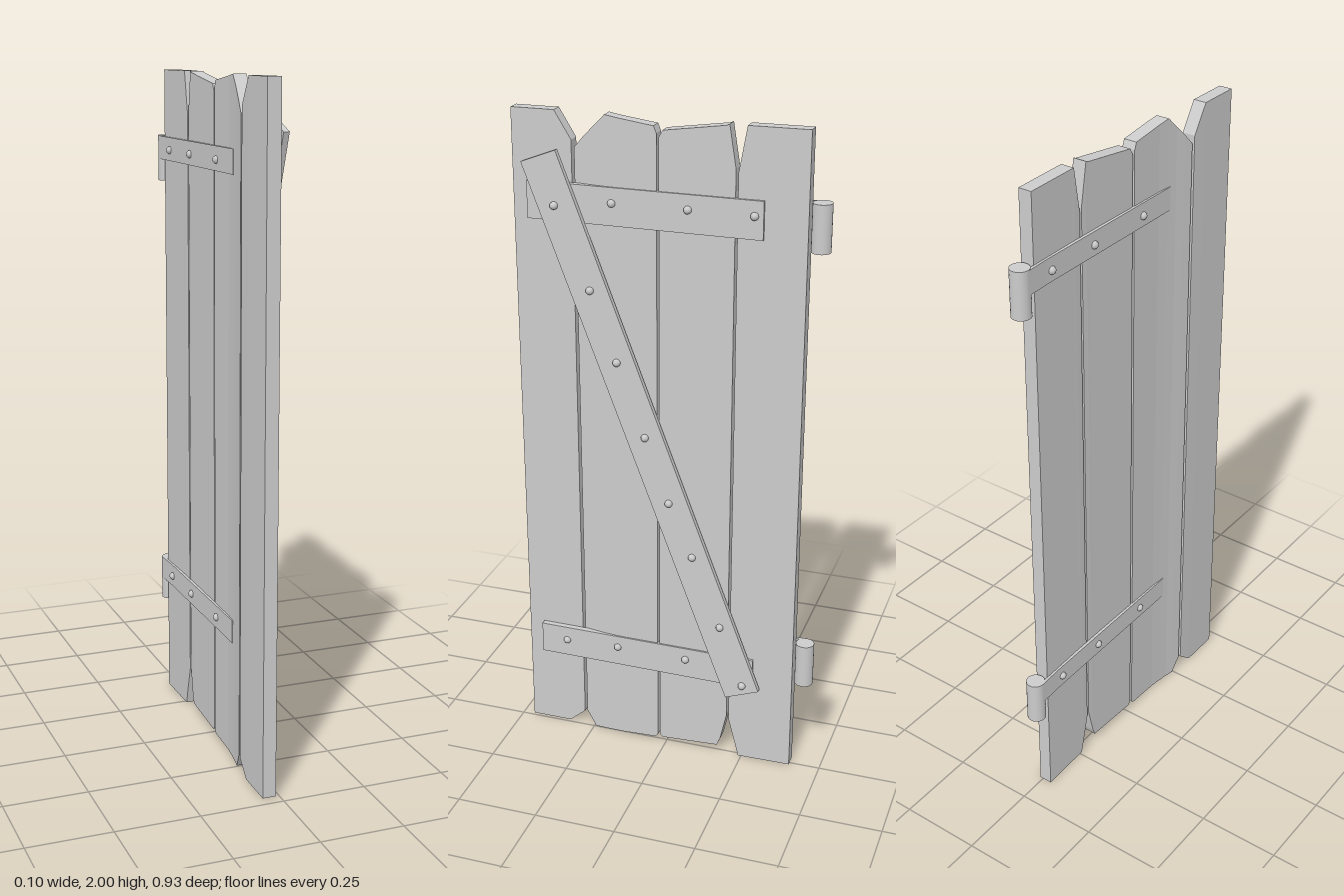
import * as THREE from 'three';

const grey = new THREE.MeshStandardMaterial({ color: 0xcccccc });
grey.name = 'plain grey';

// Board built from upright cross-sections along z: [z, bottom y, top y, back x]
function board(name, sections, thickness) {
  const pos = [], index = [];
  sections.forEach(([z, y0, y1, x]) => {
    const x1 = x + thickness;
    pos.push(x, y0, z, x1, y0, z, x1, y1, z, x, y1, z);
  });
  const last = (sections.length - 1) * 4;
  for (let i = 0; i < last; i += 4) {
    for (let j = 0; j < 4; j++) {
      const a = i + j, b = i + (j + 1) % 4;
      index.push(a, b, b + 4, a, b + 4, a + 4);
    }
  }
  index.push(0, 2, 1, 0, 3, 2, last, last + 1, last + 2, last, last + 2, last + 3);
  const indexed = new THREE.BufferGeometry();
  indexed.setAttribute('position', new THREE.Float32BufferAttribute(pos, 3));
  indexed.setIndex(index);
  const geometry = indexed.toNonIndexed();
  geometry.computeVertexNormals();
  const mesh = new THREE.Mesh(geometry, grey);
  mesh.name = name;
  return mesh;
}

export function createModel() {
  const door = new THREE.Group();
  door.name = 'plankDoor';

  // Four uneven planks with chipped ends; the third one bends backwards
  door.add(
    board('hingePlank', [
      [-0.405, 0, 2, -0.03], [-0.24, 0, 2, -0.027],
      [-0.23, 0.04, 2, -0.027], [-0.207, 0.13, 1.87, -0.026],
    ], 0.04),
    board('innerPlank', [
      [-0.2, 0.14, 1.88, -0.026], [-0.18, 0.05, 2, -0.027], [-0.17, 0.025, 1.996, -0.027],
      [0.01, 0.015, 1.97, -0.029], [0.021, 0.025, 1.95, -0.029],
    ], 0.04),
    board('bentPlank', [
      [0.028, 0.02, 1.96, -0.03], [0.036, 0.011, 1.98, -0.03], [0.14, 0.006, 1.994, -0.031],
      [0.18, 0.004, 2, -0.034], [0.215, 0.002, 1.965, -0.038],
      [0.245, 0, 1.935, -0.043], [0.276, 0.05, 1.9, -0.048],
    ], 0.04),
    board('latchPlank', [
      [0.285, 0.045, 1.92, -0.049], [0.335, 0.002, 2, -0.05],
      [0.345, 0, 2, -0.05], [0.465, 0, 2, -0.05],
    ], 0.04),
  );

  // Cross battens
  for (const [name, y0, y1] of [['upperBatten', 1.69, 1.8], ['lowerBatten', 0.26, 0.36]]) {
    door.add(board(name, [[-0.282, y0, y1, 0.003], [0.417, y0, y1, -0.009]], 0.018));
  }

  // Diagonal brace
  const brace = new THREE.Mesh(new THREE.BoxGeometry(0.017, 1.75, 0.112), grey);
  brace.name = 'diagonalBrace';
  brace.position.set(0.025, 1.06, 0.0585);
  brace.rotation.set(Math.atan2(0.625, 1.635), 0, 0.0035);
  door.add(brace);

  // Hinge barrels with straps on the back
  const barrelGeometry = new THREE.CylinderGeometry(0.028, 0.028, 0.138, 24);
  for (const [name, barrelY, strapY] of [['upperHinge', 1.733, 1.765], ['lowerHinge', 0.366, 0.4]]) {
    const hinge = new THREE.Group();
    hinge.name = name;
    const barrel = new THREE.Mesh(barrelGeometry, grey);
    barrel.name = 'hingeBarrel';
    barrel.position.set(-0.011, barrelY, -0.437);
    const y0 = strapY - 0.035, y1 = strapY + 0.035;
    hinge.add(barrel, board('hingeStrap', [
      [-0.437, y0, y1, -0.039], [-0.36, y0, y1, -0.036], [0.19, y0, y1, -0.037],
    ], 0.009));
    door.add(hinge);
  }

  // Nail heads: [x, y, z]
  const nailGeometry = new THREE.IcosahedronGeometry(0.012, 1);
  const nails = new THREE.Group();
  nails.name = 'nails';
  const nailSpots = [
    // brace
    [0.034, 1.74, 0.325], [0.034, 1.5, 0.222], [0.035, 1.29, 0.143], [0.036, 1.065, 0.058],
    [0.036, 0.862, -0.016], [0.036, 0.693, -0.09], [0.037, 0.468, -0.18], [0.038, 0.275, -0.254],
    // battens
    [0.013, 1.755, 0.16], [0.019, 1.757, -0.065], [0.024, 1.757, -0.257],
    [0.01, 0.315, 0.332], [0.013, 0.322, 0.16], [0.019, 0.322, -0.065],
  ];
  // hinge straps
  for (const y of [1.762, 0.4]) {
    for (const z of [-0.34, -0.16, 0.06]) nailSpots.push([-0.036, y, z]);
  }
  for (const [x, y, z] of nailSpots) {
    const nail = new THREE.Mesh(nailGeometry, grey);
    nail.name = 'nail';
    nail.position.set(x, y, z);
    nails.add(nail);
  }
  door.add(nails);

  return door;
}
